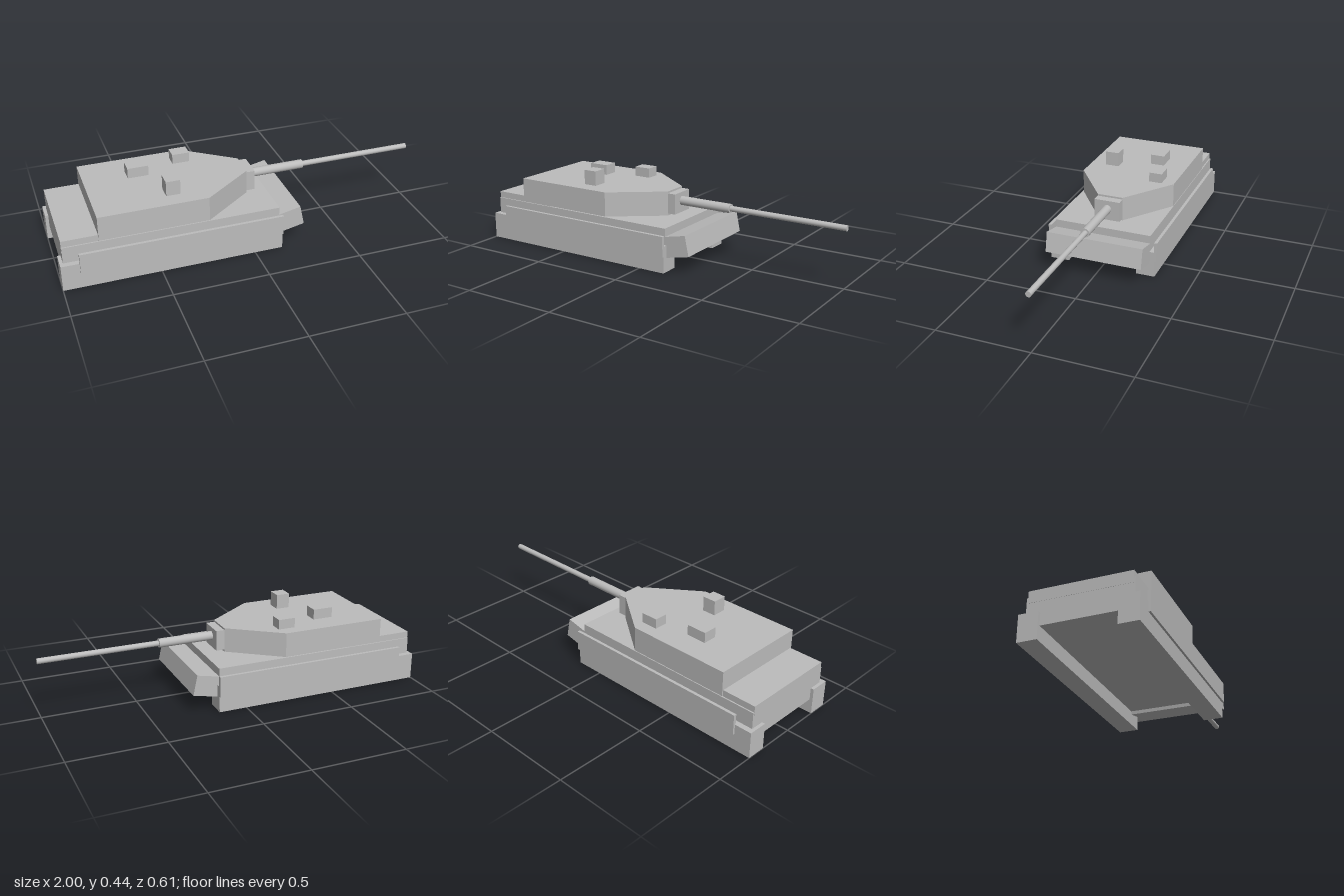
import * as THREE from 'three';

export function createModel() {
  const model = new THREE.Group();
  const grey = new THREE.MeshStandardMaterial({ color: 0xbcbcbc });
  grey.name = 'plainGrey';

  function add(name, geometry) {
    const mesh = new THREE.Mesh(geometry, grey);
    mesh.name = name;
    model.add(mesh);
    return mesh;
  }

  // Box given by its extents along each axis
  function box(name, [x0, x1], [y0, y1], [z0, z1]) {
    const mesh = add(name, new THREE.BoxGeometry(x1 - x0, y1 - y0, z1 - z0));
    mesh.position.set((x0 + x1) / 2, (y0 + y1) / 2, (z0 + z1) / 2);
    return mesh;
  }

  // Cylinder lying along x, centred on the gun axis
  function tube(name, radius, x0, x1) {
    const mesh = add(name, new THREE.CylinderGeometry(radius, radius, x1 - x0, 24));
    mesh.rotation.z = -Math.PI / 2;
    mesh.position.set((x0 + x1) / 2, 0.306, 0);
  }

  // Hull, raised engine deck and tilted nose block
  box('hull', [-0.983, 0.14], [0.075, 0.228], [-0.265, 0.265]);
  box('engineDeck', [-0.984, -0.615], [0.2, 0.262], [-0.258, 0.258]);
  const nose = add('noseBlock', new THREE.BoxGeometry(0.22, 0.109, 0.53));
  nose.position.set(0.162, 0.134, 0);
  nose.rotation.z = THREE.MathUtils.degToRad(12);

  // Tracks and side skirts, mirrored
  for (const [side, s] of [['left', 1], ['right', -1]]) {
    const span = (a, b) => (s > 0 ? [a, b] : [-b, -a]);
    box(side + 'Track', [-1, 0.15], [0, 0.141], span(0.192, 0.294));
    box(side + 'Skirt', [-0.907, 0.151], [0.088, 0.197], span(0.289, 0.305));
  }

  // Turret: plan outline with a tapered front, extruded upwards
  const plan = new THREE.Shape([
    [-0.8, -0.265], [-0.235, -0.265], [0.03, -0.07],
    [0.03, 0.07], [-0.235, 0.265], [-0.8, 0.265],
  ].map(([x, z]) => new THREE.Vector2(x, z)));
  const turret = new THREE.ExtrudeGeometry(plan, { depth: 0.131, bevelEnabled: false });
  turret.rotateX(-Math.PI / 2);
  turret.translate(0, 0.232, 0);
  add('turret', turret);

  // Gun
  box('mantlet', [0.028, 0.075], [0.244, 0.353], [-0.07, 0.07]);
  tube('barrelSleeve', 0.024, 0.07, 0.37);
  tube('barrel', 0.0147, 0.36, 1);

  // Roof boxes
  box('tallSight', [-0.433, -0.359], [0.36, 0.442], [0.103, 0.18]);
  box('rearHatch', [-0.573, -0.463], [0.36, 0.418], [-0.132, -0.055]);
  box('frontSight', [-0.315, -0.223], [0.36, 0.415], [-0.199, -0.128]);

  return model;
}
